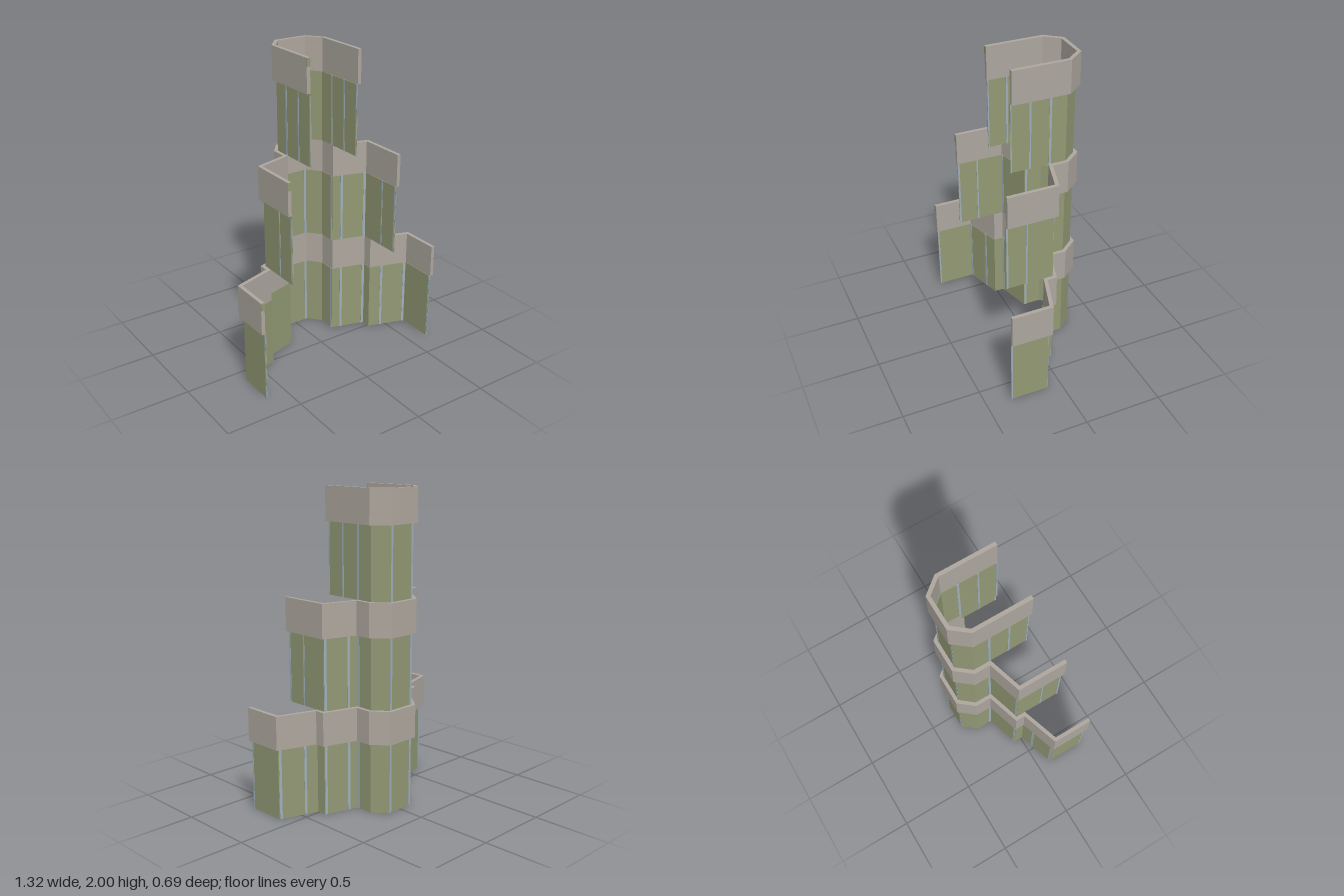
import * as THREE from 'three';

export function createModel() {
  const root = new THREE.Group();
  const mat = (name, color) => {
    const m = new THREE.MeshStandardMaterial({ color });
    m.name = name;
    return m;
  };
  const stone = mat('warm grey parapet', 0xaea79f);
  const green = mat('olive panel', 0x929974);
  const blue = mat('pale blue mullion', 0x9fafba);

  const STEP = 2 / 3, BAND = 0.213, WALL = STEP - BAND;

  // Left half of each storey's plan, from the rear bay out to the front end
  const bay = [[0.097, -0.317], [0.168, -0.23]];
  const mid = [[0.168, -0.115], [0.388, -0.05]];
  const wing = [[0.388, 0.012], [0.636, 0.092]];
  const plans = [
    [...bay, ...mid, ...wing, [0.636, 0.34]],
    [...bay, ...mid, [0.388, 0.26]],
    [...bay, [0.168, 0.133]],
  ];
  const mirror = (half) => [...half.map(([x, z]) => [-x, z]).reverse(), ...half];

  // Offset an open path sideways with mitred corners (positive = outward)
  function offset(path, d) {
    const normals = path.slice(1).map(([x, z], i) => {
      const dx = x - path[i][0], dz = z - path[i][1], l = Math.hypot(dx, dz);
      return [dz / l, -dx / l];
    });
    return path.map(([x, z], i) => {
      const a = normals[Math.max(i - 1, 0)];
      const b = normals[Math.min(i, normals.length - 1)];
      const k = d / (1 + a[0] * b[0] + a[1] * b[1]);
      return [x + (a[0] + b[0]) * k, z + (a[1] + b[1]) * k];
    });
  }

  // Upright slab following a plan path between two offsets
  function slab(name, path, inner, outer, y, h, material, parent) {
    const loop = [...offset(path, outer), ...offset(path, inner).reverse()];
    const shape = new THREE.Shape(loop.map(([x, z]) => new THREE.Vector2(x, -z)));
    const geo = new THREE.ExtrudeGeometry(shape, { depth: h, bevelEnabled: false });
    geo.rotateX(-Math.PI / 2);
    const mesh = new THREE.Mesh(geo, material);
    mesh.name = name;
    mesh.position.y = y;
    parent.add(mesh);
  }

  // Point on the plan at a given x, for the walls facing front and back
  function pointAt(path, x) {
    for (let i = 1; i < path.length; i++) {
      const [a, b] = [path[i - 1], path[i]];
      if (b[0] - a[0] > 1e-4 && x >= a[0] && x <= b[0]) {
        return [x, a[1] + (b[1] - a[1]) * (x - a[0]) / (b[0] - a[0])];
      }
    }
    return null;
  }

  // Mullion spans: by x on the cross walls, by z on the side walls
  const crossSpans = [
    [-0.635, -0.62], [-0.483, -0.467], [-0.387, -0.373], [-0.096, -0.08],
    [0.078, 0.094], [0.22, 0.235], [0.371, 0.387], [0.46, 0.475], [0.617, 0.633],
  ];
  const sideSpans = [
    [[0.636, 0.329, 0.339]],
    [[0.388, 0.247, 0.259], [0.388, 0.12, 0.13]],
    [[0.168, 0.124, 0.132], [0.168, 0, 0.012]],
  ];

  plans.forEach((half, i) => {
    const tier = new THREE.Group();
    tier.name = ['lowerStorey', 'middleStorey', 'upperStorey'][i];
    tier.position.y = i * STEP;
    root.add(tier);
    const path = mirror(half);

    // Thin panelled wall below, thicker parapet standing proud above
    slab('panelWall', path, -0.002, 0.002, 0, WALL, green, tier);
    slab('parapet', path, 0.002, 0.026, WALL, BAND, stone, tier);

    // Mullions on the cross walls
    for (const [x0, x1] of crossSpans) {
      const a = pointAt(path, x0), b = pointAt(path, x1);
      if (a && b) slab('mullion', [a, b], -0.004, 0.004, 0, WALL, blue, tier);
    }

    // Mullions on the side walls
    for (const [x, z0, z1] of [...sideSpans[i], [0.168, -0.132, -0.117]]) {
      for (const s of [-1, 1]) {
        const ends = [[s * x, z0], [s * x, z1]];
        slab('sideMullion', ends, -0.004, 0.004, 0, WALL, blue, tier);
      }
    }

    // Small green patch on the parapet's right-hand end
    const [ex, ez] = half[half.length - 1];
    const patch = new THREE.Mesh(new THREE.BoxGeometry(0.024, 0.05, 0.004), green);
    patch.name = 'parapetEndPatch';
    patch.position.set(-ex - 0.014, STEP - 0.026, ez + 0.001);
    tier.add(patch);
  });

  return root;
}
